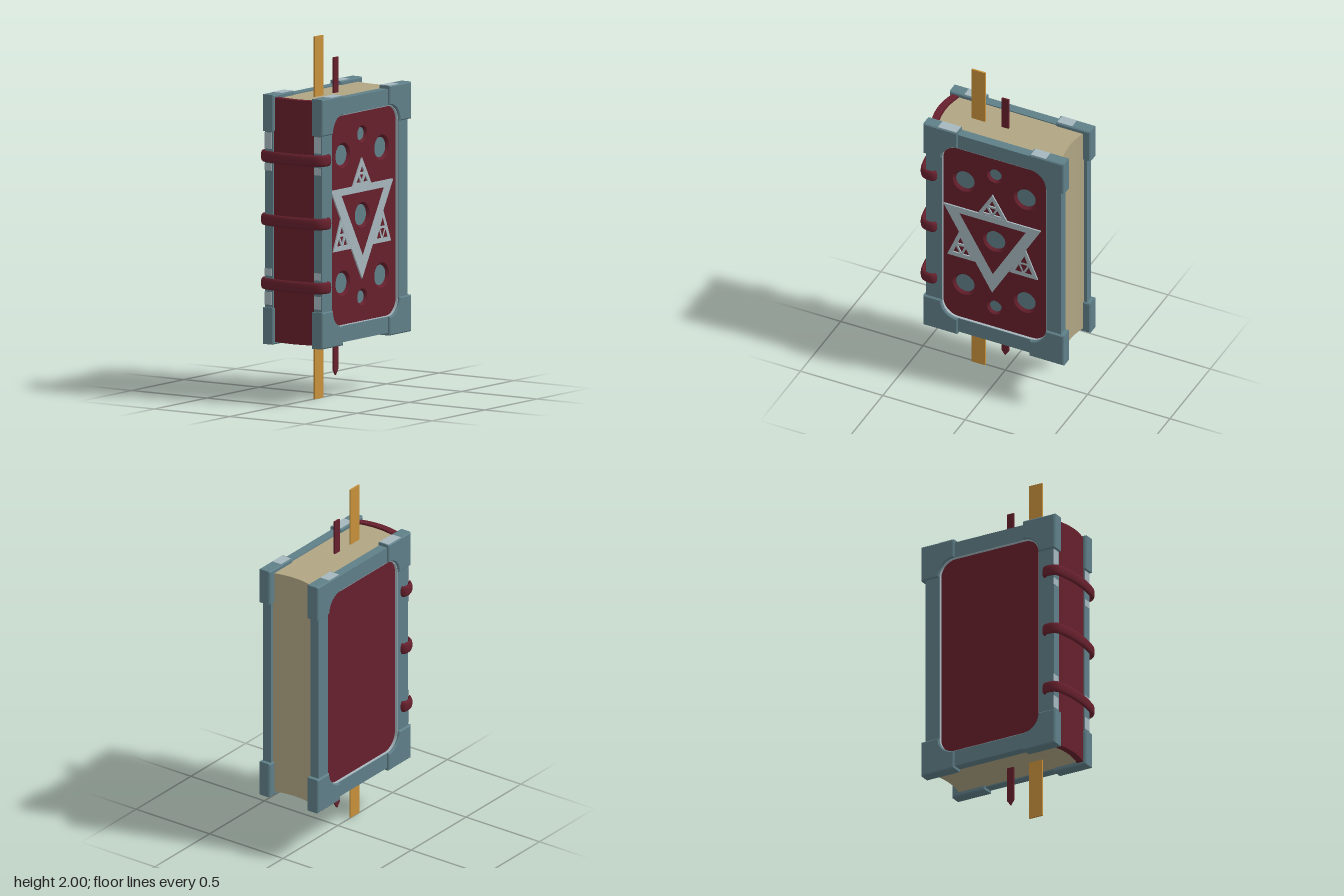
import * as THREE from 'three';
import { toCreasedNormals } from 'three/addons/utils/BufferGeometryUtils.js';

const mat = (name, color, side = THREE.FrontSide) => {
  const m = new THREE.MeshStandardMaterial({ color, side });
  m.name = name;
  return m;
};

export function createModel() {
  const red = mat('dark red leather', 0x66202d, THREE.DoubleSide);
  const teal = mat('blue grey metal', 0x5f7f88);
  const silver = mat('pale silver', 0xa6b7be);
  const paper = mat('aged paper', 0xb0a583);
  const gold = mat('gold ribbon', 0xc8913b);

  const book = new THREE.Group();
  book.name = 'book';
  const add = (name, geometry, material, parent = book) => {
    const mesh = new THREE.Mesh(geometry, material);
    mesh.name = name;
    parent.add(mesh);
    return mesh;
  };
  const poly = pts => new THREE.Shape(pts.map(p => new THREE.Vector2(p[0], p[1])));

  // Slab with its outline in (-z, y), spanning x0..x1 on the given side
  const slab = (shape, x0, x1, side = 1, bevel = 0) => {
    const g = new THREE.ExtrudeGeometry(shape, {
      depth: x1 - x0 - 2 * bevel, curveSegments: 16, bevelEnabled: bevel > 0,
      bevelSize: bevel, bevelThickness: bevel, bevelOffset: -bevel, bevelSegments: 1,
    });
    g.rotateY(Math.PI / 2);
    g.translate((side > 0 ? x0 : -x1) + bevel, 0, 0);
    return toCreasedNormals(g, 0.5);
  };
  const roundRect = (u0, v0, u1, v1, r, Type = THREE.Shape) => {
    const s = new Type();
    s.moveTo(u0 + r, v0);
    s.lineTo(u1 - r, v0);
    s.absarc(u1 - r, v0 + r, r, -Math.PI / 2, 0);
    s.lineTo(u1, v1 - r);
    s.absarc(u1 - r, v1 - r, r, 0, Math.PI / 2);
    s.lineTo(u0 + r, v1);
    s.absarc(u0 + r, v1 - r, r, Math.PI / 2, Math.PI);
    s.lineTo(u0, v0 + r);
    s.absarc(u0 + r, v0 + r, r, Math.PI, Math.PI * 1.5);
    return s;
  };
  const box = (name, x0, x1, y0, y1, z0, z1, material, parent) => {
    const m = add(name, new THREE.BoxGeometry(x1 - x0, y1 - y0, z1 - z0), material, parent);
    m.position.set((x0 + x1) / 2, (y0 + y1) / 2, (z0 + z1) / 2);
  };

  // Round studs sunk in the decorated cover: [-z, y, outer radius, floor radius]
  const studs = [[0.019, 1.005, 0.07, 0.057], [0.019, 1.452, 0.047, 0.034], [0.019, 0.552, 0.047, 0.034]];
  for (const u of [-0.166, 0.205]) for (const v of [1.355, 0.65]) studs.push([u, v, 0.07, 0.055]);

  // Covers: frame, pale lining of the opening, sunk panel, corner guards
  for (const side of [1, -1]) {
    const cover = new THREE.Group();
    cover.name = side > 0 ? 'leftCover' : 'rightCover';
    book.add(cover);

    const frame = poly([[-0.39, 0.328], [0.43, 0.328], [0.43, 1.673], [-0.39, 1.673]]);
    frame.holes.push(roundRect(-0.294, 0.418, 0.341, 1.582, 0.096, THREE.Path));
    add('coverFrame', slab(frame, 0.135, 0.188, side), teal, cover);

    const lining = roundRect(-0.297, 0.415, 0.344, 1.585, 0.099);
    lining.holes.push(roundRect(-0.291, 0.421, 0.338, 1.579, 0.093, THREE.Path));
    add('panelLining', slab(lining, 0.16, 0.187, side), silver, cover);

    const panel = roundRect(-0.3, 0.41, 0.35, 1.59, 0.1);
    if (side > 0) for (const [u, v, r] of studs) {
      const hole = new THREE.Path();
      hole.absarc(u, v, r, 0, Math.PI * 2, true);
      panel.holes.push(hole);
    }
    add('coverPanel', slab(panel, 0.145, 0.172, side), red, cover);

    for (const [uo, ui] of [[-0.402, -0.197], [0.452, 0.243]]) {
      for (const [vo, vi] of [[1.69, 1.487], [0.313, 0.515]]) {
        const su = Math.sign(uo - ui), sv = Math.sign(vo - vi), r = 0.098;
        const pts = [[uo, vi], [uo, vo], [ui, vo]];
        for (let i = 0; i <= 10; i++) {
          const a = (i / 10) * Math.PI / 2;
          pts.push([ui + su * r * Math.sin(a), vi + sv * r * Math.cos(a)]);
        }
        add('cornerGuard', slab(poly(pts), 0.127, 0.2, side, 0.006), teal, cover);
      }
    }

    // Worn pale patches on the guard tops and the spine edge of the cover
    const a = side > 0 ? 0.134 : -0.194, b = a + 0.06;
    box('backTopWear', a, b, 1.687, 1.692, -0.34, -0.25, silver, cover);
    box('frontTopWear', a, b, 1.687, 1.692, 0.203, 0.315, silver, cover);
    for (const [y0, y1] of [[1.39, 1.48], [1.27, 1.31], [0.69, 0.73], [0.53, 0.6]])
      box('edgeWear', a + 0.003, b - 0.01, y0, y1, 0.387, 0.392, silver, cover);
  }

  // Stud rims and floors
  for (const [u, v, r, f] of studs) {
    const rim = add('studRim', new THREE.CylinderGeometry(r, f, 0.016, 32, 1, true).rotateZ(-Math.PI / 2), red);
    rim.position.set(0.164, v, -u);
    const floor = add('studFloor', new THREE.CylinderGeometry(r, r, 0.012, 32).rotateZ(-Math.PI / 2), teal);
    floor.position.set(0.151, v, -u);
  }

  // Triangle emblem
  const big = poly([[-0.288, 1.172], [0.304, 1.172], [0.008, 0.656]]);
  big.holes.push(new THREE.Path([[-0.19, 1.134], [0.212, 1.134], [0.012, 0.785]].map(p => new THREE.Vector2(...p))));
  add('emblemTriangle', slab(big, 0.168, 0.181), silver);

  const mid = (p, q) => [(p[0] + q[0]) / 2, (p[1] + q[1]) / 2];
  const shrink = (t, k) => {
    const c = [0, 1].map(i => (t[0][i] + t[1][i] + t[2][i]) / 3);
    return t.map(p => [c[0] + (p[0] - c[0]) * k, c[1] + (p[1] - c[1]) * k]);
  };
  const smallTriangles = [
    [[0.008, 1.323], [-0.085, 1.165], [0.101, 1.165]],
    [[-0.265, 0.832], [-0.092, 0.832], [-0.188, 1.02]],
    [[0.284, 0.832], [0.111, 0.832], [0.206, 1.02]],
  ];
  for (const t of smallTriangles) {
    const s = poly(t);
    const [A, B, C] = shrink(t, 0.7);
    const ab = mid(A, B), bc = mid(B, C), ca = mid(C, A);
    for (const h of [[A, ab, ca], [B, bc, ab], [C, ca, bc], [ab, bc, ca]])
      s.holes.push(new THREE.Path(shrink(h, 0.68).map(p => new THREE.Vector2(...p))));
    add('emblemPoint', slab(s, 0.168, 0.18), silver);
  }

  // Pages and spine: curved outlines in plan, extruded upward
  const arc = (w, zEdge, zMid) => Array.from({ length: 17 }, (_, i) => {
    const t = i / 8 - 1;
    return [t * w, -(zMid + (zEdge - zMid) * t * t)];
  });
  const upright = (front, back, y0, y1) => {
    const g = new THREE.ExtrudeGeometry(poly([...front, ...back.reverse()]), { depth: y1 - y0, bevelEnabled: false });
    g.rotateX(-Math.PI / 2);
    g.translate(0, y0, 0);
    return toCreasedNormals(g, 0.5);
  };
  add('pages', upright(arc(0.138, 0.338, 0.36), arc(0.138, -0.412, -0.39), 0.335, 1.667), paper);
  add('spine', upright(arc(0.136, 0.382, 0.405), arc(0.136, 0.342, 0.367), 0.328, 1.675), red);

  // Raised bands around the spine
  const half = [[0.178, 0.335], [0.198, 0.336], [0.203, 0.375], [0.186, 0.408], [0.1, 0.431]];
  const path = new THREE.CatmullRomCurve3([
    ...half.map(([x, z]) => new THREE.Vector3(-x, 0, z)),
    new THREE.Vector3(0, 0, 0.438),
    ...half.map(([x, z]) => new THREE.Vector3(x, 0, z)).reverse(),
  ]);
  for (const y of [0.65, 1.003, 1.352]) {
    const g = new THREE.TubeGeometry(path, 72, 0.013, 16);
    const p = g.attributes.position;
    for (let i = 0; i < p.count; i++) {
      const t = p.getY(i) / 0.013;
      p.setY(i, Math.sign(t) * Math.pow(Math.abs(t), 0.75) * 0.032);
    }
    g.computeVertexNormals();
    add('spineBand', g, red).position.y = y;
  }

  // Ribbons through the pages
  box('goldRibbon', 0, 0.01, 0, 2, 0.118, 0.2, gold);
  const marker = poly([[-0.018, 1.863], [-0.018, 0.14], [0.003, 0.11], [0.024, 0.14], [0.024, 1.863]]);
  add('redBookmark', slab(marker, 0, 0.01), red);

  return book;
}
